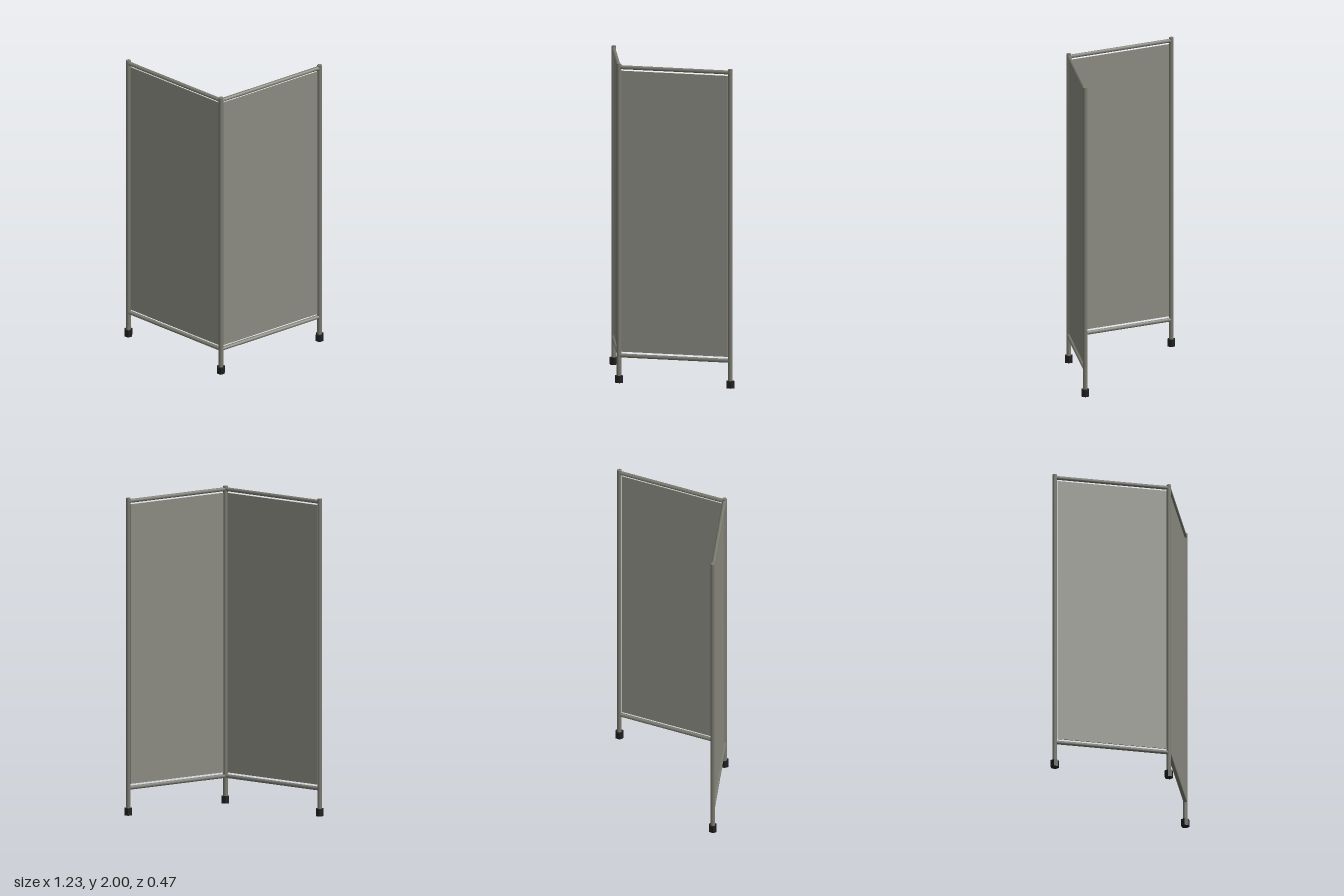
import * as THREE from 'three';

export function createModel() {
  const model = new THREE.Group();
  const mat = (name, color) => {
    const m = new THREE.MeshStandardMaterial({ color });
    m.name = name;
    return m;
  };
  const metal = mat('grey metal', 0x7c7c72);
  const fabric = mat('grey fabric', 0x8b8b82);
  const rubber = mat('black rubber', 0x1e1e20);

  const add = (parent, name, geometry, material, x, y, z) => {
    const mesh = new THREE.Mesh(geometry, material);
    mesh.name = name;
    mesh.position.set(x, y, z);
    parent.add(mesh);
    return mesh;
  };

  const wingX = 0.593, wingZ = 0.207;
  const span = Math.hypot(wingX, 2 * wingZ);

  // Three upright posts on hexagonal rubber feet
  const postGeo = new THREE.CylinderGeometry(0.0145, 0.0145, 1.98, 8);
  const footGeo = new THREE.CylinderGeometry(0.027, 0.027, 0.045, 6).toNonIndexed();
  footGeo.computeVertexNormals();
  for (const [side, x, z] of [['right', -wingX, -wingZ], ['centre', 0, wingZ], ['left', wingX, -wingZ]]) {
    add(model, side + 'Post', postGeo, metal, x, 1.01, z);
    add(model, side + 'Foot', footGeo, rubber, x, 0.0225, z);
  }

  // Two angled wings: a fabric sheet between top and bottom rails
  const railGeo = new THREE.CylinderGeometry(0.0125, 0.0125, span, 8).rotateZ(Math.PI / 2);
  const sheetGeo = new THREE.BoxGeometry(span - 0.034, 1.763, 0.005);
  for (const s of [-1, 1]) {
    const wing = new THREE.Group();
    wing.name = s < 0 ? 'rightWing' : 'leftWing';
    wing.position.x = s * wingX / 2;
    wing.rotation.y = s * Math.atan2(2 * wingZ, wingX);
    add(wing, 'topRail', railGeo, metal, 0, 1.98, 0);
    add(wing, 'bottomRail', railGeo, metal, 0, 0.171, 0);
    add(wing, 'fabricSheet', sheetGeo, fabric, 0, 1.0765, 0);
    model.add(wing);
  }
  return model;
}
